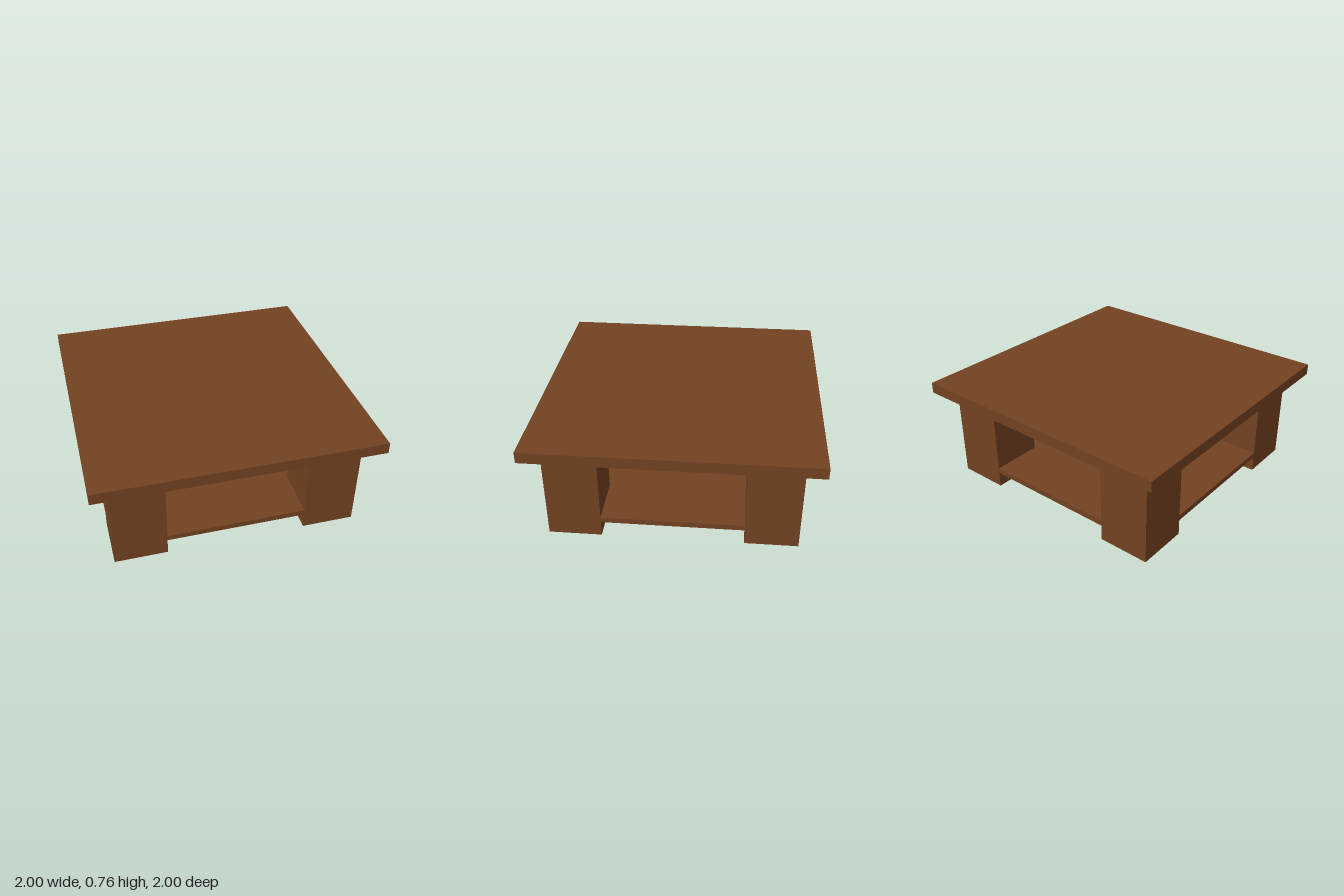
import * as THREE from 'three';

const OUT = 0.875; // outer face of legs, rails and shelf
const IN = 0.5;    // inner face of legs and rails
const WIDTH = OUT - IN;
const MID = (OUT + IN) / 2;

export function createModel() {
  const group = new THREE.Group();
  group.name = 'coffeeTable';
  const wood = new THREE.MeshStandardMaterial({ color: 0x744222 });
  wood.name = 'brown wood';

  // Box spanning y0..y1, centred on x, z
  function box(name, w, d, y0, y1, x = 0, z = 0) {
    const mesh = new THREE.Mesh(new THREE.BoxGeometry(w, y1 - y0, d), wood);
    mesh.name = name;
    mesh.position.set(x, (y0 + y1) / 2, z);
    group.add(mesh);
  }

  box('tableTop', 2, 2, 0.68, 0.76);

  // Four square legs
  for (const [sx, side] of [[1, 'Left'], [-1, 'Right']]) {
    for (const [sz, end] of [[1, 'front'], [-1, 'back']]) {
      box(`${end}${side}Leg`, WIDTH, WIDTH, 0, 0.68, sx * MID, sz * MID);
    }
  }

  // Wide flat rails between the legs, under the top
  for (const [s, end, side] of [[1, 'front', 'left'], [-1, 'back', 'right']]) {
    box(`${end}Rail`, 2 * IN, WIDTH, 0.63, 0.68, 0, s * MID);
    box(`${side}Rail`, WIDTH, 2 * IN, 0.63, 0.68, s * MID, 0);
  }

  // Lower shelf, notched around the legs
  const shape = new THREE.Shape([
    [IN, -OUT], [IN, -IN], [OUT, -IN], [OUT, IN], [IN, IN], [IN, OUT],
    [-IN, OUT], [-IN, IN], [-OUT, IN], [-OUT, -IN], [-IN, -IN], [-IN, -OUT],
  ].map(([x, y]) => new THREE.Vector2(x, y)));
  const shelfGeometry = new THREE.ExtrudeGeometry(shape, { depth: 0.04, bevelEnabled: false });
  shelfGeometry.rotateX(-Math.PI / 2);
  const shelf = new THREE.Mesh(shelfGeometry, wood);
  shelf.name = 'shelf';
  shelf.position.y = 0.115;
  group.add(shelf);

  return group;
}
